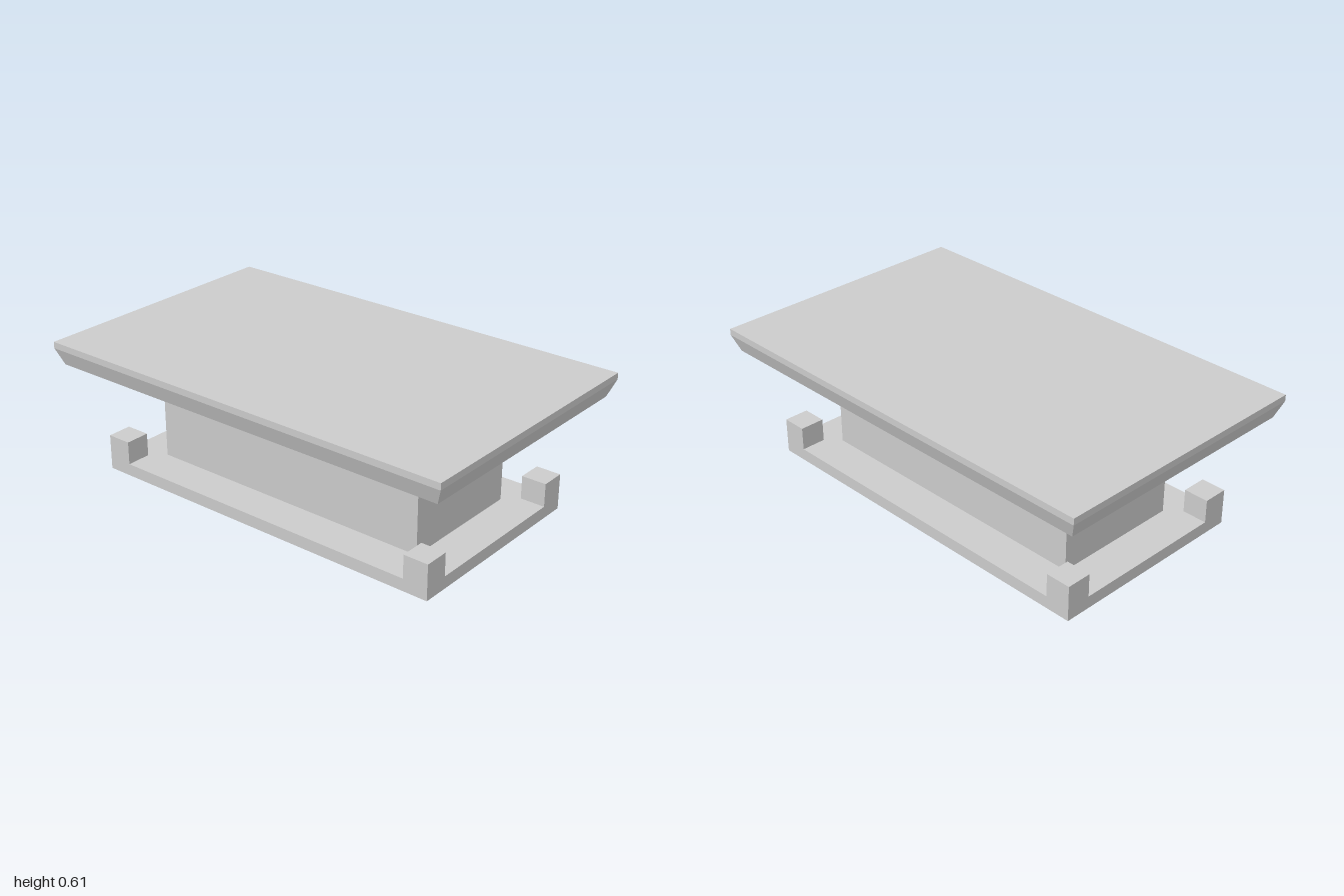
import * as THREE from 'three';

const solid = new THREE.MeshStandardMaterial({ color: 0xcccccc, flatShading: true });
const sheet = new THREE.MeshStandardMaterial({ color: 0xcccccc, flatShading: true, side: THREE.DoubleSide });

// Base half sizes, corner post size and heights
const BX = 0.465, BZ = 0.855, POST = 0.113, DECK = 0.055, POST_TOP = 0.16;
// Pedestal half sizes and top
const PX = 0.294, PZ = 0.68, PED_TOP = 0.505;

function add(parent, name, geometry, material = sheet) {
  const mesh = new THREE.Mesh(geometry, material);
  mesh.name = name;
  parent.add(mesh);
  return mesh;
}

const outline = (points) => new THREE.Shape(points.map(([x, y]) => new THREE.Vector2(x, y)));

// Thin wall that is low in the middle and rises at both ends
function wallGeometry(half) {
  const i = half - POST;
  return new THREE.ShapeGeometry(outline([
    [-half, 0], [half, 0], [half, POST_TOP], [i, POST_TOP],
    [i, DECK], [-i, DECK], [-i, POST_TOP], [-half, POST_TOP],
  ]));
}

// Solid slab with a vertical rim and a sloped lower edge
function slabGeometry() {
  const rings = [[0.505, 0.584, 0.97], [0.58, 0.612, 1], [0.609, 0.612, 1]];
  const geometry = new THREE.BoxGeometry(2, 2, 2, 1, 2, 1);
  const p = geometry.attributes.position;
  for (let i = 0; i < p.count; i++) {
    const [y, hx, hz] = rings[Math.round(p.getY(i)) + 1];
    p.setXYZ(i, p.getX(i) * hx, y, p.getZ(i) * hz);
  }
  geometry.computeVertexNormals();
  return geometry.toNonIndexed();
}

function createBase() {
  const base = new THREE.Group();
  base.name = 'base';

  // Outer walls
  for (const s of [1, -1]) {
    const end = add(base, s > 0 ? 'frontWall' : 'backWall', wallGeometry(BX));
    end.rotation.y = s > 0 ? 0 : Math.PI;
    end.position.z = s * BZ;
    const side = add(base, s > 0 ? 'leftWall' : 'rightWall', wallGeometry(BZ));
    side.rotation.y = s * Math.PI / 2;
    side.position.x = s * BX;
  }

  // Deck with notched corners and an opening under the pedestal
  const ix = BX - POST, iz = BZ - POST;
  const deckShape = outline([
    [-ix, -BZ], [ix, -BZ], [ix, -iz], [BX, -iz], [BX, iz], [ix, iz],
    [ix, BZ], [-ix, BZ], [-ix, iz], [-BX, iz], [-BX, -iz], [-ix, -iz],
  ]);
  deckShape.holes.push(outline([[-PX, -PZ], [-PX, PZ], [PX, PZ], [PX, -PZ]]));
  const deck = add(base, 'deck', new THREE.ShapeGeometry(deckShape));
  deck.rotation.x = -Math.PI / 2;
  deck.position.y = DECK;

  // Hollow corner posts: two inner faces and a cap each
  const h = POST_TOP - DECK, midY = (POST_TOP + DECK) / 2;
  for (const sx of [1, -1]) for (const sz of [1, -1]) {
    const post = new THREE.Group();
    post.name = 'cornerPost';
    const cx = sx * (BX - POST / 2), cz = sz * (BZ - POST / 2);
    const cap = add(post, 'postCap', new THREE.PlaneGeometry(POST, POST));
    cap.rotation.x = -Math.PI / 2;
    cap.position.set(cx, POST_TOP, cz);
    const inX = add(post, 'postSideFace', new THREE.PlaneGeometry(POST, h));
    inX.rotation.y = -sx * Math.PI / 2;
    inX.position.set(sx * ix, midY, cz);
    const inZ = add(post, 'postEndFace', new THREE.PlaneGeometry(POST, h));
    inZ.rotation.y = sz > 0 ? Math.PI : 0;
    inZ.position.set(cx, midY, sz * iz);
    base.add(post);
  }
  return base;
}

// Hollow pedestal, open at the bottom
function createPedestal() {
  const pedestal = new THREE.Group();
  pedestal.name = 'pedestal';
  const h = PED_TOP - DECK, midY = (PED_TOP + DECK) / 2;
  for (const s of [1, -1]) {
    const end = add(pedestal, 'pedestalEnd', new THREE.PlaneGeometry(2 * PX, h));
    end.rotation.y = s > 0 ? 0 : Math.PI;
    end.position.set(0, midY, s * PZ);
    const side = add(pedestal, 'pedestalSide', new THREE.PlaneGeometry(2 * PZ, h));
    side.rotation.y = s * Math.PI / 2;
    side.position.set(s * PX, midY, 0);
  }
  return pedestal;
}

export function createModel() {
  const model = new THREE.Group();
  model.name = 'pedestalTable';
  model.add(createBase(), createPedestal());
  add(model, 'tableTop', slabGeometry(), solid);
  return model;
}
